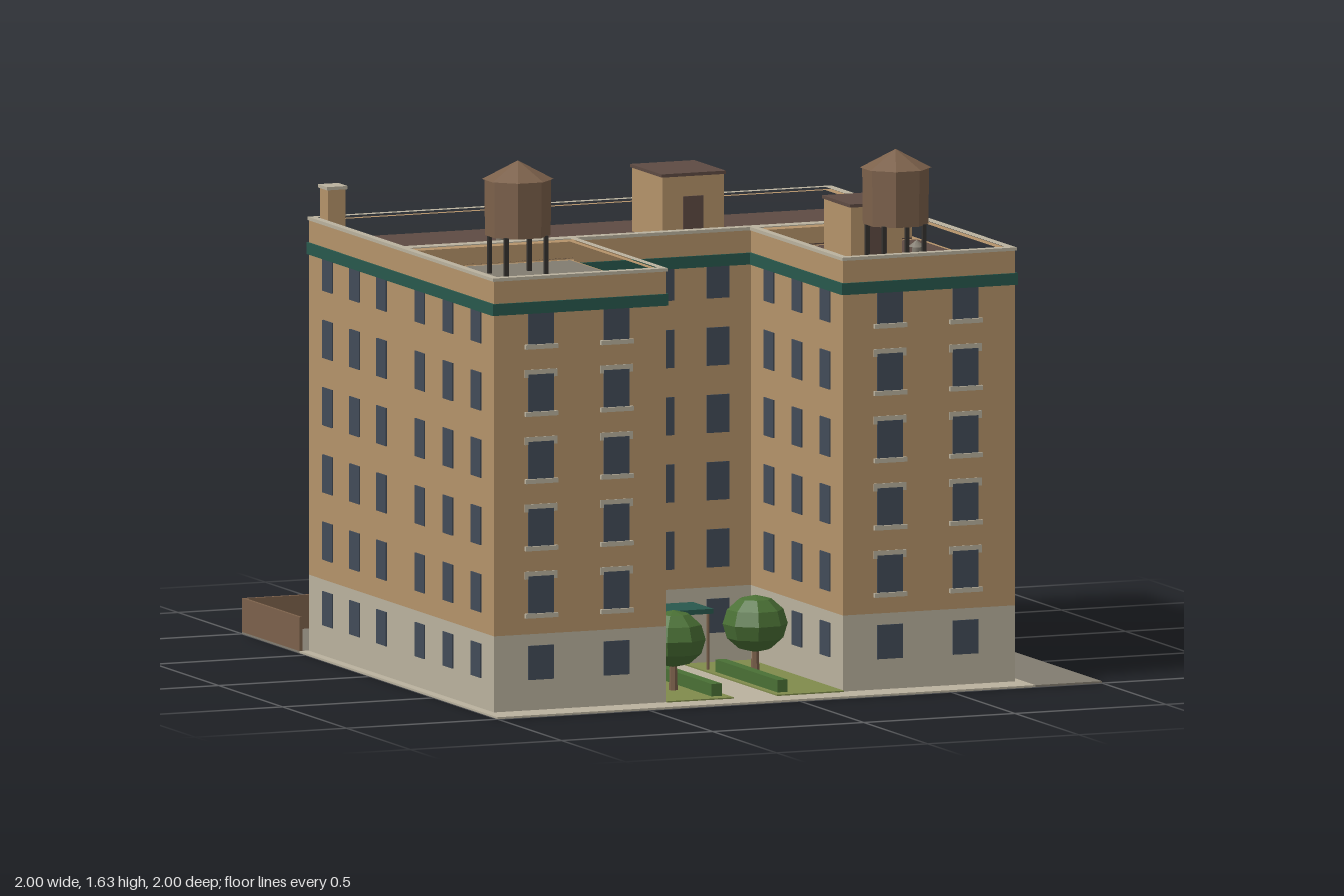
import * as THREE from 'three';
import { mergeGeometries } from 'three/addons/utils/BufferGeometryUtils.js';

const material = (name, color, extra = {}) => {
  const m = new THREE.MeshStandardMaterial({ color, ...extra });
  m.name = name;
  return m;
};

export function createModel() {
  const brick = material('brick', 0xb5936a);
  const stone = material('limestone', 0xbab29e);
  const green = material('painted green', 0x28584d);
  const glass = material('window glass', 0x424c58);
  const tar = material('roof tar', 0x5e4b43);
  const concrete = material('grey concrete', 0x827c70);
  const wood = material('brown timber', 0x7c614b, { flatShading: true });
  const leaf = material('leaves', 0x4a7035, { flatShading: true });
  const grass = material('grass', 0x808b4c);
  const iron = material('dark iron', 0x34322f);

  const model = new THREE.Group();
  model.name = 'apartmentBuilding';

  const add = (name, geo, mat, x = 0, y = 0, z = 0, parent = model) => {
    const mesh = new THREE.Mesh(geo, mat);
    mesh.name = name;
    mesh.position.set(x, y, z);
    parent.add(mesh);
    return mesh;
  };
  // box given by its extents on each axis
  const block = (name, mat, x0, x1, y0, y1, z0, z1, parent) =>
    add(name, new THREE.BoxGeometry(x1 - x0, y1 - y0, z1 - z0), mat,
      (x0 + x1) / 2, (y0 + y1) / 2, (z0 + z1) / 2, parent);

  // U-shaped plan around the front court
  const W = { left: -0.97, right: 0.755, back: -0.545, front: 0.9, courtL: -0.4, courtR: 0.185, courtZ: 0.18 };
  const ROOF = 1.275;
  const wells = [[-0.95, 0.73, -0.525, 0.15], [-0.95, -0.42, 0.195, 0.875], [0.205, 0.73, 0.195, 0.875]];

  // extrudes the plan, grown by d, between two heights
  const plan = (name, mat, y0, y1, d = 0, hollow = false) => {
    const pts = [
      [W.left - d, W.back - d], [W.right + d, W.back - d], [W.right + d, W.front + d],
      [W.courtR - d, W.front + d], [W.courtR - d, W.courtZ + d], [W.courtL + d, W.courtZ + d],
      [W.courtL + d, W.front + d], [W.left - d, W.front + d],
    ].map(([x, z]) => new THREE.Vector2(x, -z));
    const shape = new THREE.Shape(pts);
    if (hollow) {
      for (const [x0, x1, z0, z1] of wells) {
        shape.holes.push(new THREE.Path(
          [[x0, z0], [x1, z0], [x1, z1], [x0, z1]].map(([x, z]) => new THREE.Vector2(x, -z))));
      }
    }
    const geo = new THREE.ExtrudeGeometry(shape, { depth: y1 - y0, bevelEnabled: false });
    geo.rotateX(-Math.PI / 2);
    add(name, geo, mat, 0, y0, 0);
  };
  plan('stoneBase', stone, 0.004, 0.24);
  plan('brickWalls', brick, 0.24, ROOF - 0.005);
  plan('parapet', brick, ROOF - 0.005, 1.332, 0, true);
  plan('cornice', green, 1.227, 1.263, 0.006, true);
  plan('coping', stone, 1.332, 1.342, 0.004, true);
  wells.forEach(([x0, x1, z0, z1], i) =>
    block('roofDeck', i === 1 ? concrete : tar, x0, x1, ROOF - 0.004, ROOF, z0, z1));

  // ground: pavement, yard, lawns and hedges
  block('pavement', stone, -1, 0.78, 0, 0.006, -0.55, 1);
  block('backYard', concrete, -1, 1, 0, 0.006, -1, -0.55);
  block('sideYard', concrete, 0.78, 1, 0, 0.006, -0.55, 1);
  for (const [x0, x1] of [[-0.4, -0.18], [-0.037, 0.185]]) block('lawn', grass, x0, x1, 0.002, 0.01, 0.18, 0.91);
  for (const x of [-0.218, 0]) block('hedge', leaf, x - 0.017, x + 0.017, 0.008, 0.048, 0.38, 0.865);

  // windows, one facade at a time
  const rowY = (r) => (r === 0 ? 0.152 : 0.36 + 0.207 * (r - 1));
  const facade = (name, cx, cz, angle, offsets, { width = 0.075, trim = false, skip = () => false } = {}) => {
    const panes = [], trims = [];
    for (const o of offsets) {
      for (let r = 0; r < 6; r++) {
        if (skip(o, r)) continue;
        const h = r === 0 ? 0.105 : 0.117;
        panes.push(new THREE.BoxGeometry(width, h, 0.008).translate(o, rowY(r), 0));
        if (trim && r > 0) {
          trims.push(new THREE.BoxGeometry(width + 0.022, 0.024, 0.016).translate(o, rowY(r) + 0.061, -0.005));
          trims.push(new THREE.BoxGeometry(width + 0.022, 0.014, 0.024).translate(o, rowY(r) - 0.063, 0));
        }
      }
    }
    const wall = new THREE.Group();
    wall.name = name;
    wall.position.set(cx, 0, cz);
    wall.rotation.y = angle;
    model.add(wall);
    add('windowPanes', mergeGeometries(panes), glass, 0, 0, 0, wall);
    if (trim) add('lintelsAndSills', mergeGeometries(trims), stone, 0, 0, 0, wall);
  };
  const row = (n, step) => Array.from({ length: n }, (_, i) => (i - (n - 1) / 2) * step);
  const Q = Math.PI / 2;
  facade('leftWingFront', 0.465, W.front, 0, row(2, 0.25), { width: 0.085, trim: true });
  facade('rightWingFront', -0.69, W.front, 0, row(2, 0.25), { width: 0.085, trim: true });
  facade('courtBack', -0.107, W.courtZ, 0, row(3, 0.182), { skip: (o, r) => r === 0 && Math.abs(o) < 0.01 });
  facade('rearFacade', -0.107, W.back, Math.PI, row(8, 0.205));
  for (const [x, a] of [[W.right, Q], [W.left, -Q]]) {
    facade('sideMain', x, -0.185, a, row(3, 0.211));
    facade('sideWing', x, 0.545, a, row(3, 0.22));
  }
  facade('courtSide', W.courtL, 0.545, Q, row(3, 0.22));
  facade('courtSide', W.courtR, 0.545, -Q, row(3, 0.22));

  // entrance with canopy
  block('doorSurround', stone, -0.185, -0.033, 0.006, 0.18, 0.175, 0.188);
  block('entranceDoor', green, -0.166, -0.053, 0.008, 0.165, 0.186, 0.194);
  block('canopy', green, -0.214, -0.006, 0.183, 0.198, 0.18, 0.34);
  for (const x of [-0.2, -0.02]) {
    add('canopyPost', new THREE.CylinderGeometry(0.005, 0.005, 0.18, 6), wood, x, 0.095, 0.328);
  }

  // court trees
  for (const [x, z, turn] of [[-0.287, 0.69, 0.2], [0.07, 0.485, 0.5]]) {
    add('treeTrunk', new THREE.CylinderGeometry(0.01, 0.014, 0.12, 6), wood, x, 0.06, z);
    const crown = add('treeCrown', new THREE.SphereGeometry(0.1, 8, 6), leaf, x, 0.168, z);
    crown.scale.y = 0.88;
    crown.rotation.y = turn;
  }

  // rooftop water tanks
  for (const [x, z] of [[-0.69, 0.425], [0.467, 0.645]]) {
    const tank = new THREE.Group();
    tank.name = 'waterTank';
    tank.position.set(x, 0, z);
    model.add(tank);
    const barrel = add('tankBarrel', new THREE.CylinderGeometry(0.102, 0.1, 0.175, 8), wood, 0, 1.485, 0, tank);
    const cap = add('tankRoof', new THREE.ConeGeometry(0.109, 0.057, 8), wood, 0, 1.599, 0, tank);
    barrel.rotation.y = cap.rotation.y = Math.PI / 8;
    for (const sx of [-1, 1]) {
      for (const sz of [-1, 1]) {
        block('tankLeg', iron, sx * 0.066 - 0.006, sx * 0.066 + 0.006, ROOF, 1.4,
          sz * 0.066 - 0.006, sz * 0.066 + 0.006, tank);
      }
    }
  }

  // stair bulkheads
  for (const [x0, x1, z0, z1, top, doorX, doorTop] of [
    [-0.003, 0.2, -0.305, -0.067, 1.472, 0.098, 1.41], [0.383, 0.552, 0.285, 0.495, 1.432, 0.467, 1.4]]) {
    block('bulkhead', brick, x0, x1, ROOF, top, z0, z1);
    block('bulkheadRoof', tar, x0 - 0.005, x1 + 0.005, top, top + 0.01, z0 - 0.005, z1 + 0.005);
    block('bulkheadDoor', tar, doorX - 0.033, doorX + 0.033, ROOF, doorTop, z1 - 0.002, z1 + 0.005);
  }

  // chimney and roof vents
  block('chimney', brick, -0.948, -0.89, ROOF, 1.435, -0.512, -0.45);
  block('chimneyCap', stone, -0.953, -0.885, 1.435, 1.445, -0.517, -0.445);
  for (const [x, z] of [[-0.455, -0.265], [0.52, 0.685]]) {
    add('ventPipe', new THREE.CylinderGeometry(0.015, 0.015, 0.06, 8), concrete, x, ROOF + 0.03, z);
    add('ventCap', new THREE.ConeGeometry(0.026, 0.02, 8), concrete, x, ROOF + 0.065, z);
  }

  // yard walls, shed and bins
  block('rearYardWall', wood, -1, 1, 0, 0.11, -1, -0.988);
  block('sideYardWall', wood, -1, -0.99, 0, 0.11, -0.988, -0.55);
  block('shed', wood, -0.135, 0.225, 0.004, 0.16, -0.998, -0.83);
  block('shedRoof', tar, -0.142, 0.232, 0.16, 0.17, -1, -0.824);
  for (const x of [-0.765, -0.713, -0.661, -0.609]) {
    add('trashBin', new THREE.CylinderGeometry(0.018, 0.016, 0.058, 10), concrete, x, 0.035, -0.585);
  }
  return model;
}
